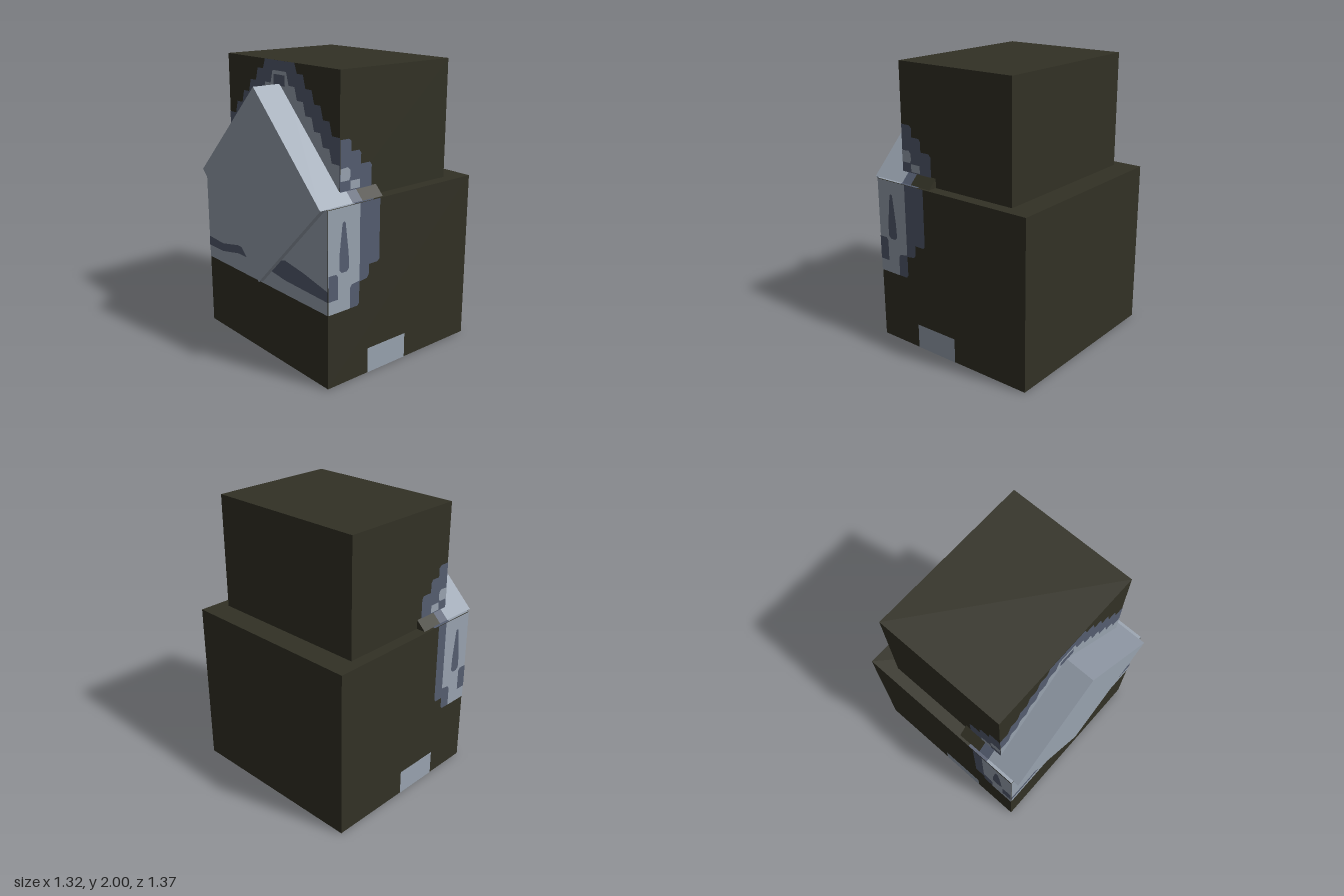
import * as THREE from 'three';

const material = (name, color) => {
  const m = new THREE.MeshStandardMaterial({ color });
  m.name = name;
  return m;
};

export function createModel() {
  const group = new THREE.Group();
  const dark = material('dark olive', 0x323125);
  const pale = material('pale blue grey', 0x99a3b0);
  const slate = material('slate blue', 0x555d70);

  // Box given by its lower and upper limits
  function box(name, mat, [x0, y0, z0], [x1, y1, z1]) {
    const mesh = new THREE.Mesh(new THREE.BoxGeometry(x1 - x0, y1 - y0, z1 - z0), mat);
    mesh.position.set((x0 + x1) / 2, (y0 + y1) / 2, (z0 + z1) / 2);
    mesh.name = name;
    group.add(mesh);
  }

  // Flat painted patch laid just above a face
  function patch(name, mat, points, position, rotation) {
    const shape = new THREE.Shape(points.map(([u, v]) => new THREE.Vector2(u, v)));
    const mesh = new THREE.Mesh(new THREE.ShapeGeometry(shape), mat);
    mesh.position.set(...position);
    mesh.rotation.set(...rotation);
    mesh.name = name;
    group.add(mesh);
  }
  const rect = (u0, v0, u1, v1) => [[u0, v0], [u1, v0], [u1, v1], [u0, v1]];
  const front = (name, mat, pts, z) => patch(name, mat, pts, [0, 0, z], [0, 0, 0]);
  const back = (name, mat, pts, z) =>
    patch(name, mat, pts.map(([x, y]) => [-x, y]), [0, 0, -z], [0, Math.PI, 0]);
  const side = (name, mat, pts, x) => patch(name, mat, pts, [x, 0, 0], [0, -Math.PI / 2, 0]);
  const top = (name, mat, pts, y) => patch(name, mat, pts, [0, y, 0], [-Math.PI / 2, 0, 0]);
  const under = (name, mat, pts, y) => patch(name, mat, pts, [0, y, 0], [Math.PI / 2, 0, 0]);

  // Main blocks
  box('lowerBlock', dark, [-0.617, 0, -0.68], [0.657, 1.19, 0.68]);
  box('upperBlock', dark, [-0.45, 1.19, -0.597], [0.487, 2, 0.597]);

  // Block turned on its edge, banded in three colours
  for (const [name, mat, x0, x1] of [
    ['tiltedBlockOuter', pale, -0.66, -0.4],
    ['tiltedBlockBand', slate, -0.4, -0.32],
    ['tiltedBlockInner', dark, -0.32, -0.15],
  ]) {
    const s = 0.662 * Math.SQRT2;
    const mesh = new THREE.Mesh(new THREE.BoxGeometry(x1 - x0, s, s), mat);
    mesh.position.set((x0 + x1) / 2, 1.19, 0);
    mesh.rotation.x = Math.PI / 4;
    mesh.name = name;
    group.add(mesh);
  }

  // Paint on the front and back faces
  const paleArea = [[-0.617, 0.51], [-0.44, 0.51], [-0.44, 0.65], [-0.425, 0.67], [-0.36, 0.68],
    [-0.36, 1.19], [-0.617, 1.19]];
  const drop = [[-0.53, 0.79], [-0.51, 0.77], [-0.47, 0.77], [-0.45, 0.79], [-0.455, 0.89],
    [-0.48, 1.09], [-0.49, 1.1], [-0.505, 1.09], [-0.53, 0.88]];
  const corner = [[-0.617, 0.6], [-0.54, 0.6], [-0.54, 0.75], [-0.555, 0.77], [-0.617, 0.77]];
  const upperSteps = [[-0.45, 1.19], [-0.19, 1.19], [-0.19, 1.39], [-0.205, 1.41], [-0.28, 1.41],
    [-0.28, 1.48], [-0.295, 1.5], [-0.36, 1.5], [-0.36, 1.565], [-0.38, 1.58], [-0.45, 1.58]];
  const lowerFront = [[-0.46, 0.51], [-0.375, 0.51], [-0.36, 0.53], [-0.36, 0.67], [-0.295, 0.68],
    [-0.28, 0.7], [-0.28, 0.77], [-0.205, 0.77], [-0.19, 0.785], [-0.19, 1.19], [-0.46, 1.19]];
  const lowerBack = [[-0.46, 0.51], [-0.375, 0.51], [-0.36, 0.53], [-0.36, 0.6], [-0.295, 0.6],
    [-0.28, 0.62], [-0.28, 1.19], [-0.46, 1.19]];
  for (const [face, suffix, slateArea] of [[front, 'Front', lowerFront], [back, 'Back', lowerBack]]) {
    face('slateEdge' + suffix, slate, slateArea, 0.682);
    face('paleArea' + suffix, pale, paleArea, 0.684);
    face('slateDrop' + suffix, slate, drop, 0.686);
    face('slateCorner' + suffix, slate, corner, 0.686);
    face('footPatch' + suffix, pale, rect(-0.28, 0, 0.06, 0.177), 0.682);
    face('upperSlate' + suffix, slate, upperSteps, 0.599);
    face('upperSpotA' + suffix, pale, [[-0.45, 1.32], [-0.38, 1.32], [-0.37, 1.34], [-0.37, 1.385],
      [-0.39, 1.405], [-0.45, 1.4]], 0.601);
    face('upperSpotB' + suffix, pale, rect(-0.37, 1.26, -0.29, 1.315), 0.601);
  }

  // Stepped paint around the tilted block on the side of the upper block
  function gable(edgeHeight) {
    const pts = [[-0.597, 1.19]];
    const n = 14;
    for (let i = 0; i < n; i++) {
      const z0 = -0.597 + (1.194 * i) / n;
      const z1 = z0 + 1.194 / n;
      const y = Math.min(2, edgeHeight + 0.597 - Math.abs((z0 + z1) / 2));
      pts.push([z0 + 0.012, y], [z1 - 0.012, y]);
    }
    pts[1][0] = -0.597;
    pts[pts.length - 1][0] = 0.597;
    pts.push([0.597, 1.19]);
    return pts;
  }
  side('upperSideSlate', slate, gable(1.55), -0.452);
  side('upperSidePale', pale, gable(1.38), -0.454);
  side('upperSideSpot', slate, rect(-0.06, 1.84, 0.06, 1.91), -0.456);

  // Side band of the lower block with a wavy streak
  side('lowerSidePale', pale, rect(-0.68, 0.51, 0.68, 1.19), -0.619);
  side('lowerSideStreak', slate, [[-0.68, 0.6], [-0.5, 0.6], [-0.3, 0.64], [0, 0.64], [0.25, 0.61],
    [0.68, 0.6], [0.68, 0.67], [0.45, 0.72], [0.25, 0.75], [0.05, 0.69], [-0.3, 0.7], [-0.5, 0.66],
    [-0.68, 0.67]], -0.621);

  // Ledge paint on top of the lower block
  top('ledgePale', pale, rect(-0.617, -0.68, -0.4, 0.68), 1.192);
  top('ledgeSlate', slate, rect(-0.4, -0.68, -0.24, 0.68), 1.192);

  // Strip along the underside
  under('undersideStrip', pale, rect(-0.28, -0.68, 0.06, 0.68), -0.002);
  under('undersideSpot', slate, [[-0.28, -0.6], [-0.23, -0.58], [-0.2, -0.45], [-0.23, -0.36],
    [-0.28, -0.38]], -0.004);

  return group;
}
